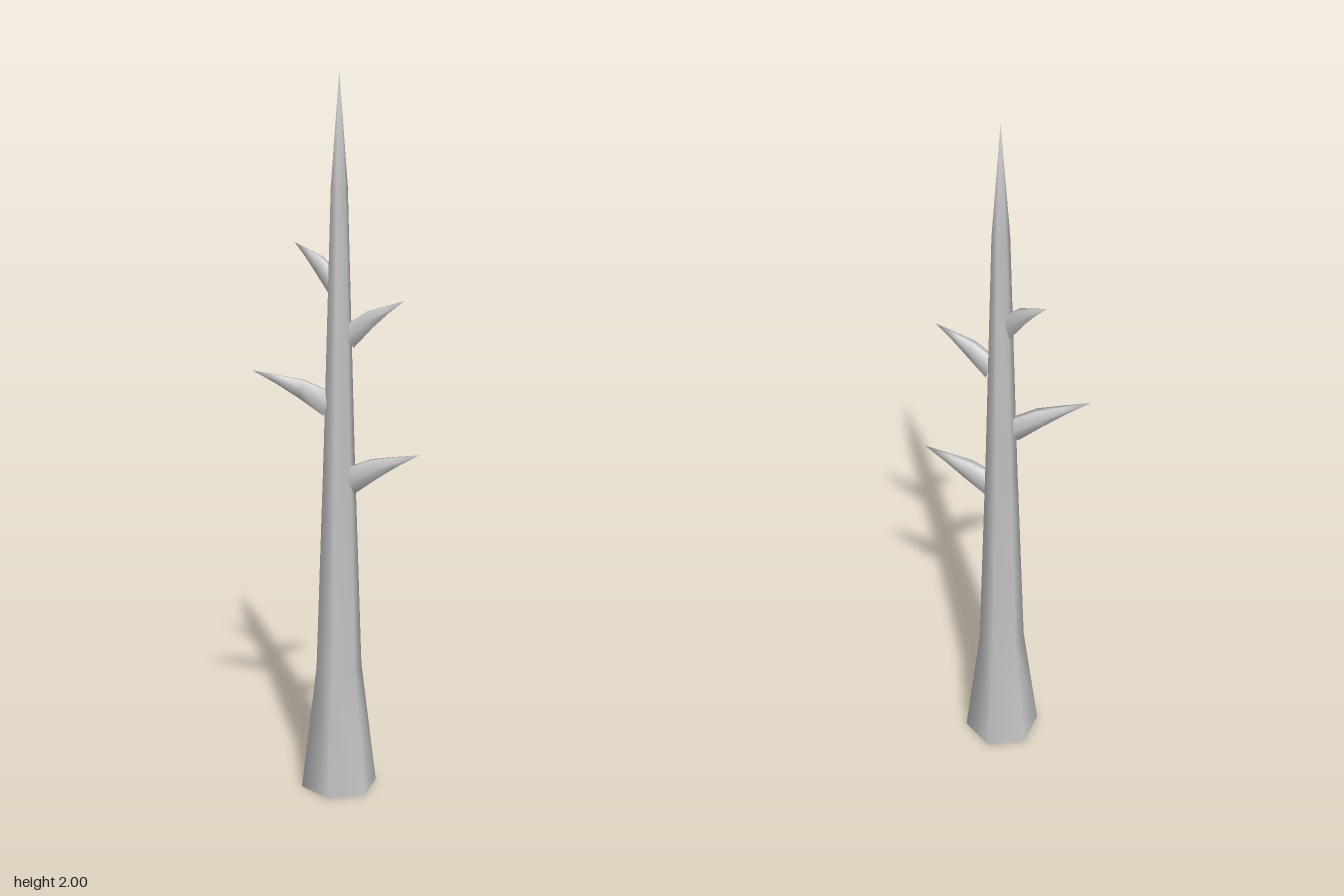
import * as THREE from 'three';

// Open at the foot and at the branch roots, so both sides show
const bark = new THREE.MeshStandardMaterial({ color: 0xc4c4c4, side: THREE.DoubleSide });
bark.name = 'pale bark';

const SIDES = 6;

// Smooth skin over six-point rings, closed to a single point at the tip
function makeSpike(name, rings, tip) {
  const points = [...rings.flat(), tip];
  const index = [];
  for (let r = 0; r < rings.length; r++) {
    for (let i = 0; i < SIDES; i++) {
      const j = (i + 1) % SIDES, p = r * SIDES, q = p + SIDES;
      if (r === rings.length - 1) index.push(p + i, q, p + j);
      else index.push(p + i, q + i, p + j, p + j, q + i, q + j);
    }
  }
  const geo = new THREE.BufferGeometry().setFromPoints(points);
  geo.setIndex(index);
  geo.computeVertexNormals();
  const mesh = new THREE.Mesh(geo, bark);
  mesh.name = name;
  return mesh;
}

// Oval ring around a centre, spanned by two half axes
function ring(center, u, v) {
  return Array.from({ length: SIDES }, (_, i) => {
    const a = (i / SIDES) * Math.PI * 2;
    return center.clone().addScaledVector(u, Math.cos(a)).addScaledVector(v, Math.sin(a));
  });
}

// Branch stub: tall oval sections that thin out quickly towards the tip
function makeBranch(name, root, tip, size) {
  const a = new THREE.Vector3(...root), b = new THREE.Vector3(...tip);
  const dir = b.clone().sub(a);
  const flat = new THREE.Vector3(dir.x, 0, dir.z).normalize();
  const side = new THREE.Vector3(-flat.z, 0, flat.x);
  const up = new THREE.Vector3(0, 1, 0).addScaledVector(flat, -0.4);
  // share of run, share of rise, half width, half height
  const sections = [[0, 0, 0.014, 0.036], [0.35, 0.45, 0.018, 0.026], [0.65, 0.72, 0.010, 0.013]];
  const rings = sections.map(([run, rise, w, h]) => ring(
    new THREE.Vector3(a.x + dir.x * run, a.y + dir.y * rise, a.z + dir.z * run),
    side.clone().multiplyScalar(w * size),
    up.clone().multiplyScalar(h * size)));
  return makeSpike(name, rings, b);
}

export function createModel() {
  const model = new THREE.Group();
  model.name = 'bareTree';

  // Six-sided trunk, flared at the foot and drawn to a point
  const profile = [[0.109, 0], [0.065, 0.36], [0.043, 1.0], [0.023, 1.7]];
  const trunkRings = profile.map(([r, y]) => ring(
    new THREE.Vector3(0, y, 0), new THREE.Vector3(r, 0, 0), new THREE.Vector3(0, 0, -r)));
  const trunk = makeSpike('trunk', trunkRings, new THREE.Vector3(0, 2, 0));
  trunk.position.set(-0.024, 0, -0.035);
  model.add(trunk);

  // Four branch stubs: root, tip, thickness
  model.add(
    makeBranch('lowerLeftBranch', [0.013, 0.905, -0.041], [0.176, 0.99, -0.145], 1.1),
    makeBranch('lowerRightBranch', [-0.045, 1.115, -0.012], [-0.178, 1.21, 0.142], 1),
    makeBranch('upperLeftBranch', [0.003, 1.303, -0.048], [0.13, 1.405, -0.128], 0.95),
    makeBranch('upperRightBranch', [-0.043, 1.445, -0.03], [-0.16, 1.545, 0.002], 0.9));
  return model;
}
